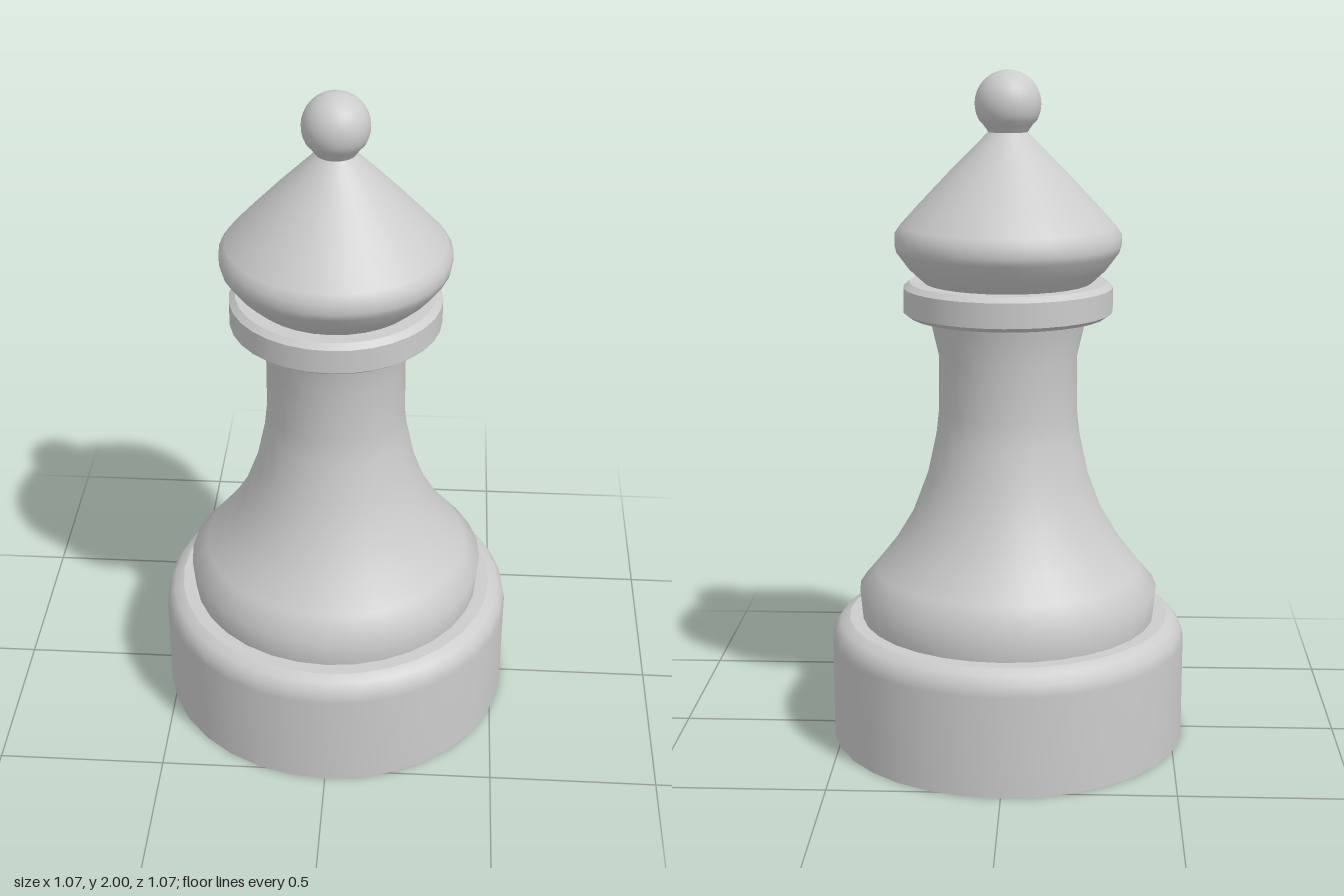
import * as THREE from 'three';
import { mergeGeometries } from 'three/addons/utils/BufferGeometryUtils.js';

const SEGMENTS = 32;
const material = new THREE.MeshStandardMaterial({ color: 0xcccccc });

// Revolves each [radius, height] section with smooth normals; sections meet at sharp edges
function turned(name, ...sections) {
  const parts = sections.map((points) =>
    new THREE.LatheGeometry(points.map(([r, y]) => new THREE.Vector2(r, y)), SEGMENTS));
  const mesh = new THREE.Mesh(mergeGeometries(parts), material);
  mesh.name = name;
  return mesh;
}

export function createModel() {
  const group = new THREE.Group();
  group.name = 'chessPiece';

  // Heavy foot with a rounded shoulder
  group.add(turned('base',
    [[0, 0], [0.535, 0]],
    [[0.535, 0], [0.535, 0.3], [0.528, 0.332], [0.51, 0.357], [0.482, 0.37]],
    [[0.482, 0.37], [0, 0.37]]));

  // Flared stem, narrowest below the collar
  group.add(turned('stem',
    [[0.442, 0.37], [0.45, 0.46], [0.4, 0.52], [0.345, 0.59], [0.285, 0.69], [0.24, 0.81],
      [0.214, 0.93], [0.206, 1.0], [0.205, 1.17], [0.232, 1.29]]));

  // Chamfered collar ring
  group.add(turned('collar',
    [[0, 1.29], [0.29, 1.29]],
    [[0.29, 1.29], [0.308, 1.303]],
    [[0.308, 1.303], [0.308, 1.375]],
    [[0.308, 1.375], [0.29, 1.39]],
    [[0.29, 1.39], [0, 1.39]]));

  // Pointed head
  group.add(turned('head',
    [[0.245, 1.388], [0.29, 1.43], [0.327, 1.48], [0.332, 1.5], [0.332, 1.53], [0.315, 1.555],
      [0.265, 1.61], [0.17, 1.71], [0.08, 1.8], [0.055, 1.826]],
    [[0.055, 1.826], [0, 1.826]]));

  // Ball finial on a tapered neck
  const ball = [[0.056, 1.822], [0.072, 1.845]];
  for (let i = 0; i <= 12; i++) {
    const a = THREE.MathUtils.lerp(-0.5, Math.PI / 2, i / 12);
    ball.push([Math.max(0, 0.096 * Math.cos(a)), 1.904 + 0.096 * Math.sin(a)]);
  }
  group.add(turned('finial', ball));

  return group;
}
